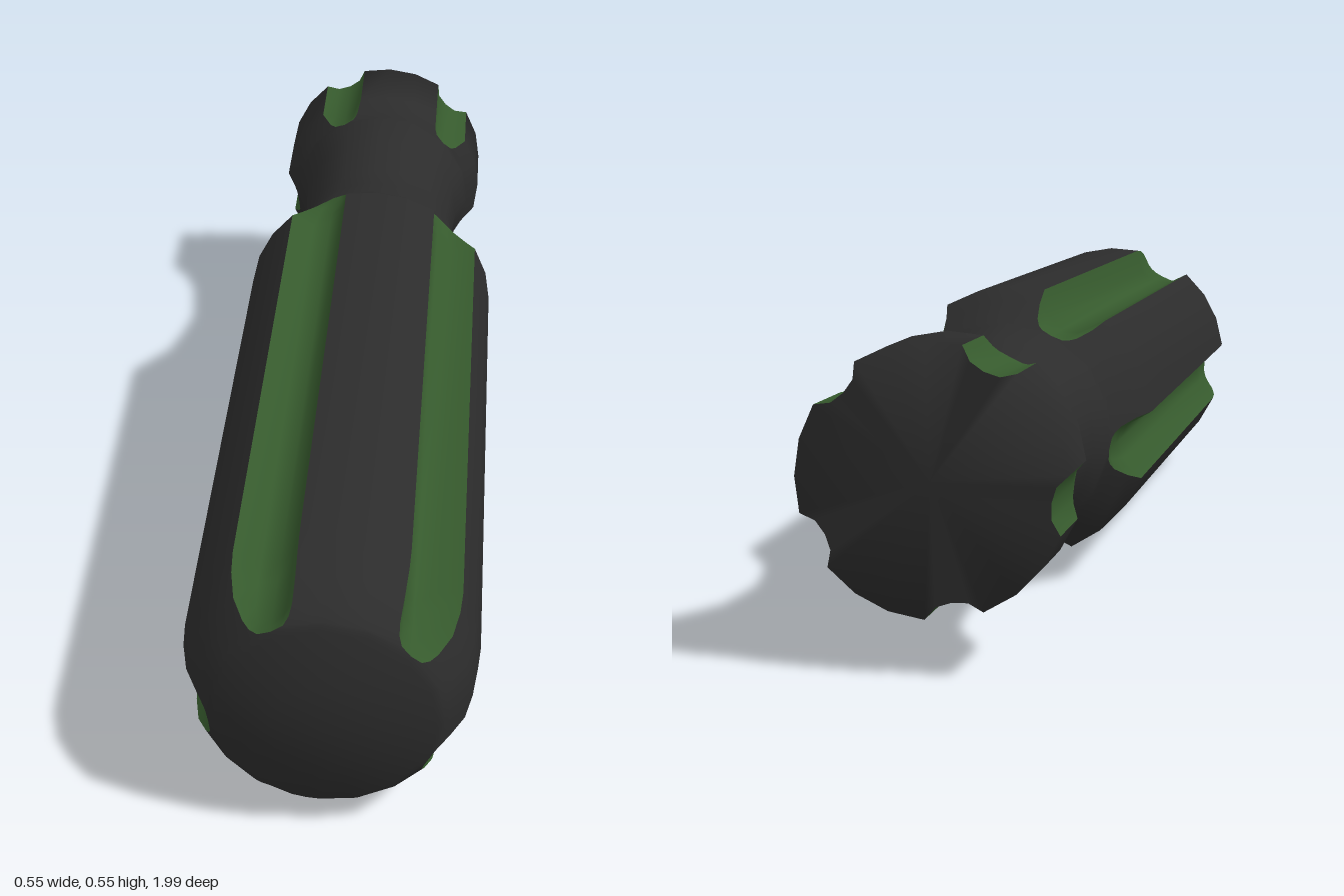
import * as THREE from 'three';
import { mergeVertices } from 'three/addons/utils/BufferGeometryUtils.js';

// Handle profile along its axis, front to back: [z, radius]
const PROFILE = [
  [0.995, 0], [0.988, 0.09], [0.972, 0.15], [0.96, 0.186], [0.955, 0.195], [0.952, 0.198],
  [0.942, 0.206], [0.925, 0.217], [0.885, 0.238], [0.83, 0.25], [0.78, 0.254],
  [-0.34, 0.254], [-0.38, 0.232], [-0.42, 0.21], [-0.437, 0.201], [-0.445, 0.197], [-0.45, 0.195],
  [-0.52, 0.178], [-0.6, 0.165], [-0.73, 0.174], [-0.79, 0.195], [-0.795, 0.198],
  [-0.805, 0.204], [-0.84, 0.222], [-0.986, 0.222], [-0.988, 0],
];
const GROOVES = 5;
const FIRST_ANGLE = THREE.MathUtils.degToRad(44);
const FLOOR = 0.195; // radius of the groove bottom
const HALF_WIDTH = 0.063; // groove half width on the full body
const BODY = 0.254;
const STEPS = [-1, -0.6, 0, 0.6, 1]; // points across a groove
const LAND_SEGMENTS = 3; // facets between two grooves

// One cross-section; the grooves narrow and vanish where the handle is thin
function ring([z, radius]) {
  const points = [];
  const depth = Math.max(0, radius - FLOOR);
  const half = HALF_WIDTH * Math.cbrt(depth / (BODY - FLOOR));
  const edge = radius > 0 ? Math.asin(half / radius) : 0;
  const sector = (Math.PI * 2) / GROOVES;
  const add = (angle, r) => points.push([r * Math.cos(angle), r * Math.sin(angle), z]);
  for (let g = 0; g < GROOVES; g++) {
    const mid = FIRST_ANGLE + g * sector;
    for (const f of STEPS) add(mid + f * edge, radius - depth * (1 - Math.abs(f) ** 3));
    for (let k = 1; k < LAND_SEGMENTS; k++) {
      add(mid + edge + ((sector - 2 * edge) * k) / LAND_SEGMENTS, radius);
    }
  }
  return points;
}

function toGeometry(positions) {
  const raw = new THREE.BufferGeometry();
  raw.setAttribute('position', new THREE.Float32BufferAttribute(positions, 3));
  const geometry = mergeVertices(raw, 1e-5);
  geometry.computeVertexNormals();
  return geometry;
}

export function createModel() {
  const black = new THREE.MeshStandardMaterial({ color: 0x2c2c2c });
  black.name = 'black grip';
  const green = new THREE.MeshStandardMaterial({ color: 0x365a2d });
  green.name = 'green groove';

  const rings = PROFILE.map(ring);
  const columns = rings[0].length;
  const perSector = columns / GROOVES;
  const body = [];
  const grooves = [];

  const triangle = (target, a, b, c) => {
    const [p, q, r] = [a, b, c].map((v) => new THREE.Vector3(...v));
    const area = q.clone().sub(p).cross(r.clone().sub(p)).length();
    if (area > 1e-9) target.push(...a, ...b, ...c);
  };

  // Skin between neighbouring sections, with the end caps kept black
  for (let i = 0; i < rings.length - 1; i++) {
    const isCap = PROFILE[i][1] === 0 || PROFILE[i + 1][1] === 0;
    for (let j = 0; j < columns; j++) {
      const next = (j + 1) % columns;
      const inGroove = j % perSector < STEPS.length - 1;
      const target = inGroove && !isCap && Math.max(PROFILE[i][1], PROFILE[i + 1][1]) > FLOOR
        ? grooves : body;
      const a = rings[i][j], b = rings[i][next];
      const c = rings[i + 1][j], d = rings[i + 1][next];
      triangle(target, a, c, b);
      triangle(target, b, c, d);
    }
  }

  const handle = new THREE.Group();
  handle.name = 'handle';
  const grip = new THREE.Mesh(toGeometry(body), black);
  grip.name = 'gripBody';
  const inlay = new THREE.Mesh(toGeometry(grooves), green);
  inlay.name = 'gripGrooves';
  handle.add(grip, inlay);

  // The handle lies slightly tilted, its front end lower
  handle.rotation.set(0.036, -0.037, 0);
  handle.position.set(0.004, 0.286, 0);

  const model = new THREE.Group();
  model.name = 'toolHandle';
  model.add(handle);
  return model;
}
